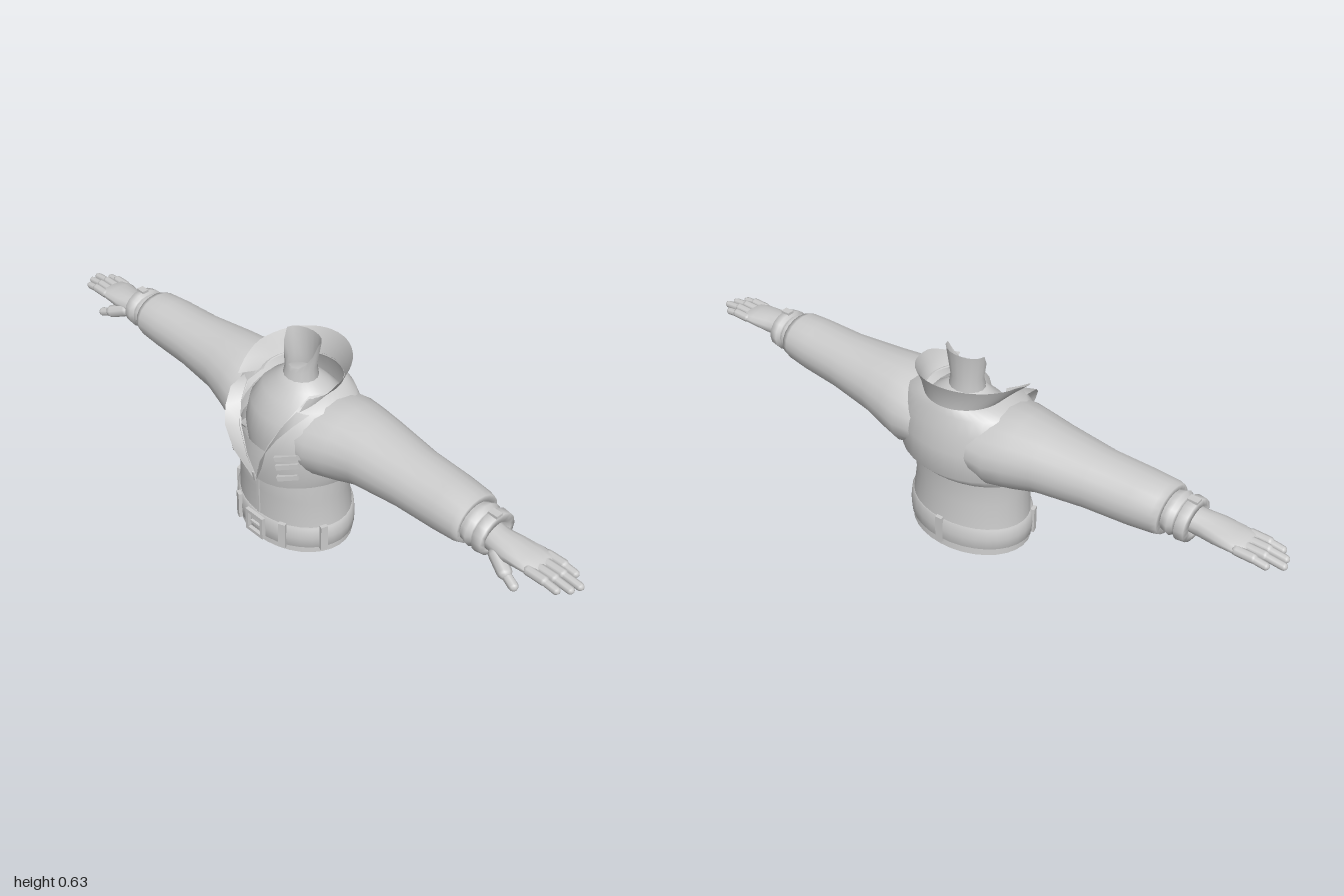
import * as THREE from 'three';

const mat = new THREE.MeshStandardMaterial({ color: 0xcccccc, side: THREE.DoubleSide });
const V = (x, y, z) => new THREE.Vector3(x, y, z);
const TAU = Math.PI * 2;

function add(parent, name, geo) {
  const m = new THREE.Mesh(geo, mat);
  m.name = name;
  parent.add(m);
  return m;
}

// Skin a list of equal-length point rows; closed rows wrap round
function loft(rows, closed = true) {
  const n = rows[0].length, pos = [], idx = [];
  rows.forEach(r => r.forEach(p => pos.push(p.x, p.y, p.z)));
  for (let i = 0; i < rows.length - 1; i++) {
    for (let j = 0; j < (closed ? n : n - 1); j++) {
      const k = (j + 1) % n, a = i * n, b = a + n;
      idx.push(a + j, a + k, b + k, a + j, b + k, b + j);
    }
  }
  const g = new THREE.BufferGeometry();
  g.setAttribute('position', new THREE.Float32BufferAttribute(pos, 3));
  g.setIndex(idx);
  g.computeVertexNormals();
  return g;
}

// Horizontal ring: half width, front z, back z; gap is the open angle at the front
function ringY(rx, zf, zb, yAt, gap = 0, n = 32) {
  const cz = (zf + zb) / 2, rz = (zf - zb) / 2;
  return Array.from({ length: gap ? n + 1 : n }, (_, i) => {
    const a = gap + (i / n) * (TAU - 2 * gap);
    return V(rx * Math.sin(a), yAt(Math.cos(a)), cz + rz * Math.cos(a));
  });
}

// Upright ring across the arm
function ringX([x, yb, yt, zb, zf], n = 16) {
  return Array.from({ length: n }, (_, i) => {
    const a = (i / n) * TAU;
    return V(x, (yb + yt) / 2 + (yt - yb) / 2 * Math.cos(a), (zb + zf) / 2 + (zf - zb) / 2 * Math.sin(a));
  });
}
const armLoft = (rows, n) => loft(rows.map(r => ringX(r, n)));

// Rounded segment from a to b
function limb(parent, name, a, b, r) {
  const d = b.clone().sub(a), len = d.length();
  const m = add(parent, name, new THREE.CapsuleGeometry(r, len - 2 * r, 4, 8));
  m.position.copy(a).add(b).multiplyScalar(0.5);
  m.quaternion.setFromUnitVectors(V(0, 1, 0), d.normalize());
}

function box(parent, name, size, at, rot = [0, 0, 0]) {
  const m = add(parent, name, new THREE.BoxGeometry(...size));
  m.position.set(...at);
  m.rotation.set(...rot);
  return m;
}

function buildArm() {
  const arm = new THREE.Group();
  add(arm, 'sleeve', armLoft([
    [0.10, 0.28, 0.485, -0.165, 0.125], [0.16, 0.262, 0.498, -0.17, 0.122], [0.22, 0.275, 0.5, -0.158, 0.105],
    [0.30, 0.30, 0.495, -0.142, 0.086], [0.45, 0.315, 0.482, -0.118, 0.07], [0.58, 0.322, 0.48, -0.108, 0.068],
    [0.65, 0.33, 0.475, -0.10, 0.066], [0.668, 0.336, 0.47, -0.095, 0.06], [0.668, 0.36, 0.445, -0.07, 0.042],
    [0.62, 0.36, 0.445, -0.07, 0.042]], 20));
  // Glove cuff with two bands
  add(arm, 'gloveCuff', armLoft([
    [0.64, 0.35, 0.45, -0.07, 0.045], [0.675, 0.345, 0.455, -0.077, 0.05], [0.69, 0.34, 0.46, -0.082, 0.055],
    [0.70, 0.352, 0.448, -0.07, 0.043], [0.708, 0.352, 0.448, -0.07, 0.043], [0.712, 0.338, 0.461, -0.083, 0.056],
    [0.738, 0.342, 0.458, -0.08, 0.053], [0.742, 0.36, 0.44, -0.06, 0.04], [0.72, 0.37, 0.43, -0.045, 0.03]]));
  box(arm, 'cuffBuckle', [0.03, 0.008, 0.022], [0.725, 0.461, -0.012]);
  add(arm, 'palm', armLoft([
    [0.71, 0.365, 0.435, -0.047, 0.032], [0.76, 0.362, 0.43, -0.046, 0.038], [0.80, 0.366, 0.428, -0.054, 0.045],
    [0.85, 0.378, 0.421, -0.062, 0.045], [0.885, 0.384, 0.415, -0.062, 0.043], [0.897, 0.397, 0.402, -0.052, 0.035]], 14));
  // Fingers, front to back
  [[0.031, 0.97], [0.005, 0.992], [-0.022, 1.0], [-0.049, 0.965]].forEach(([z, tip]) => {
    const mid = (0.875 + tip) / 2;
    limb(arm, 'fingerBase', V(0.86, 0.4, z), V(mid + 0.012, 0.4, z), 0.0135);
    limb(arm, 'fingerTip', V(mid - 0.012, 0.4, z), V(tip, 0.393, z), 0.011);
  });
  limb(arm, 'thumbBase', V(0.755, 0.39, 0.022), V(0.835, 0.36, 0.056), 0.02);
  limb(arm, 'thumbTip', V(0.81, 0.367, 0.046), V(0.868, 0.348, 0.062), 0.0135);
  return arm;
}

// Lapel, collar-side details and chest pleats for one side
function buildFrontSide() {
  const side = new THREE.Group();
  const inner = [[0, 0.23, 0.148], [0.025, 0.3, 0.158], [0.06, 0.38, 0.148], [0.085, 0.44, 0.127], [0.1, 0.485, 0.083], [0.1, 0.503, 0.04]];
  const outer = [[0.008, 0.225, 0.155], [0.06, 0.31, 0.18], [0.086, 0.385, 0.186], [0.108, 0.43, 0.165], [0.13, 0.467, 0.125], [0.135, 0.48, 0.07]];
  add(side, 'lapel', loft([inner.map(p => V(...p)), outer.map(p => V(...p))], false));
  [0.358, 0.328, 0.288].forEach((y, i) =>
    box(side, 'chestPleat', [0.08 - i * 0.008, 0.015, 0.012], [0.118, y, 0.133], [0, 0.5, 0.33]));
  box(side, 'beltLoop', [0.022, 0.088, 0.012], [0.095, 0.06, 0.135], [0, 0.42, 0]);
  box(side, 'sideBeltLoop', [0.012, 0.085, 0.022], [0.185, 0.063, 0.055], [0, -0.3, 0]);
  return side;
}

export function createModel() {
  const model = new THREE.Group();
  model.name = 'jacketedTorso';

  // Waist of the jacket, closed underneath
  const waist = [[0, 0, 0, 0], [0, 0.193, 0.145, -0.153], [0.1, 0.19, 0.14, -0.148], [0.18, 0.182, 0.141, -0.138],
    [0.25, 0.19, 0.143, -0.142], [0.32, 0.19, 0.13, -0.145]];
  add(model, 'waistBase', loft(waist.slice(0, 2).map(([y, rx, f, b]) => ringY(rx, f, b, c => 0.004 - 0.004 * c))));
  add(model, 'waist', loft(waist.slice(1).map(([y, rx, f, b], i) =>
    ringY(rx, f, b, c => y + (i ? 0 : 0.004 - 0.004 * c)))));

  // Upper jacket with a front opening that widens to the neck
  const upper = [[0.255, 0.196, 0.148, -0.155, 0.004], [0.3, 0.213, 0.162, -0.184, 0.025], [0.38, 0.222, 0.16, -0.181, 0.06],
    [0.44, 0.213, 0.14, -0.168, 0.085], [0.485, 0.18, 0.11, -0.155, 0.1], [0.505, 0.115, 0.08, -0.146, 0.094]];
  add(model, 'upperJacket', loft(upper.map(([y, rx, f, b, gap], i) =>
    ringY(rx, f, b, c => y + (i ? 0 : c > 0 ? -0.032 * c ** 3 : -0.012 * c), Math.asin(gap / rx))), false));

  // Standing collar, higher at the back
  const rim = c => 0.55 - (c > 0 ? 0.086 : 0.032) * c;
  add(model, 'collar', loft([
    ringY(0.115, 0.08, -0.146, () => 0.5, 0.95),
    ringY(0.138, 0.13, -0.15, c => 0.5 + (rim(c) - 0.5) * 0.5, 0.95),
    ringY(0.156, 0.17, -0.166, rim, 0.95)], false));

  // Shirt and neck, the neck cut away at the front
  const shirt = [[0.22, 0.15, 0.11, -0.12], [0.34, 0.17, 0.12, -0.14], [0.41, 0.16, 0.105, -0.14], [0.46, 0.13, 0.07, -0.13],
    [0.49, 0.085, 0.04, -0.1], [0.515, 0.05, 0.018, -0.065], [0.515, 0, -0.02, -0.02]];
  add(model, 'shirt', loft(shirt.map(([y, rx, f, b]) => ringY(rx, f, b, () => y))));
  add(model, 'neck', loft([
    ringY(0.06, 0.03, -0.075, () => 0.48, 0, 16),
    ringY(0.05, 0.018, -0.066, c => 0.545 - 0.012 * Math.max(0, c), 0, 16),
    ringY(0.064, 0.012, -0.071, c => 0.628 - 0.085 * Math.max(0, c), 0, 16)]));

  // Belt, tipped down toward the front
  const belt = [[0.028, 0.188, 0.14, -0.148], [0.028, 0.198, 0.149, -0.156], [0.062, 0.2, 0.151, -0.157],
    [0.097, 0.197, 0.148, -0.153], [0.097, 0.186, 0.138, -0.145]];
  add(model, 'belt', loft(belt.map(([y, rx, f, b]) => ringY(rx, f, b, c => y - 0.006 * c))));
  const frame = new THREE.Shape([[-0.037, -0.038], [0.037, -0.038], [0.037, 0.038], [-0.037, 0.038]].map(p => new THREE.Vector2(...p)));
  frame.holes.push(new THREE.Path([[-0.026, -0.027], [-0.026, 0.027], [0.026, 0.027], [0.026, -0.027]].map(p => new THREE.Vector2(...p))));
  add(model, 'buckle', new THREE.ExtrudeGeometry(frame, { depth: 0.012, bevelEnabled: false })).position.set(0, 0.057, 0.15);
  box(model, 'bucklePin', [0.05, 0.008, 0.008], [0.008, 0.057, 0.156]);
  box(model, 'backBeltLoop', [0.022, 0.09, 0.012], [0, 0.068, -0.156]);

  // Front zip
  box(model, 'zip', [0.01, 0.13, 0.006], [0, 0.16, 0.142]);
  box(model, 'zipPull', [0.008, 0.035, 0.004], [0, 0.236, 0.157], [0.2, 0, 0]);

  // Mirrored arms and front details
  [['left', 1], ['right', -1]].forEach(([name, s]) => {
    const arm = buildArm(), front = buildFrontSide();
    arm.name = name + 'Arm';
    front.name = name + 'Front';
    arm.scale.x = front.scale.x = s;
    model.add(arm, front);
  });
  return model;
}
